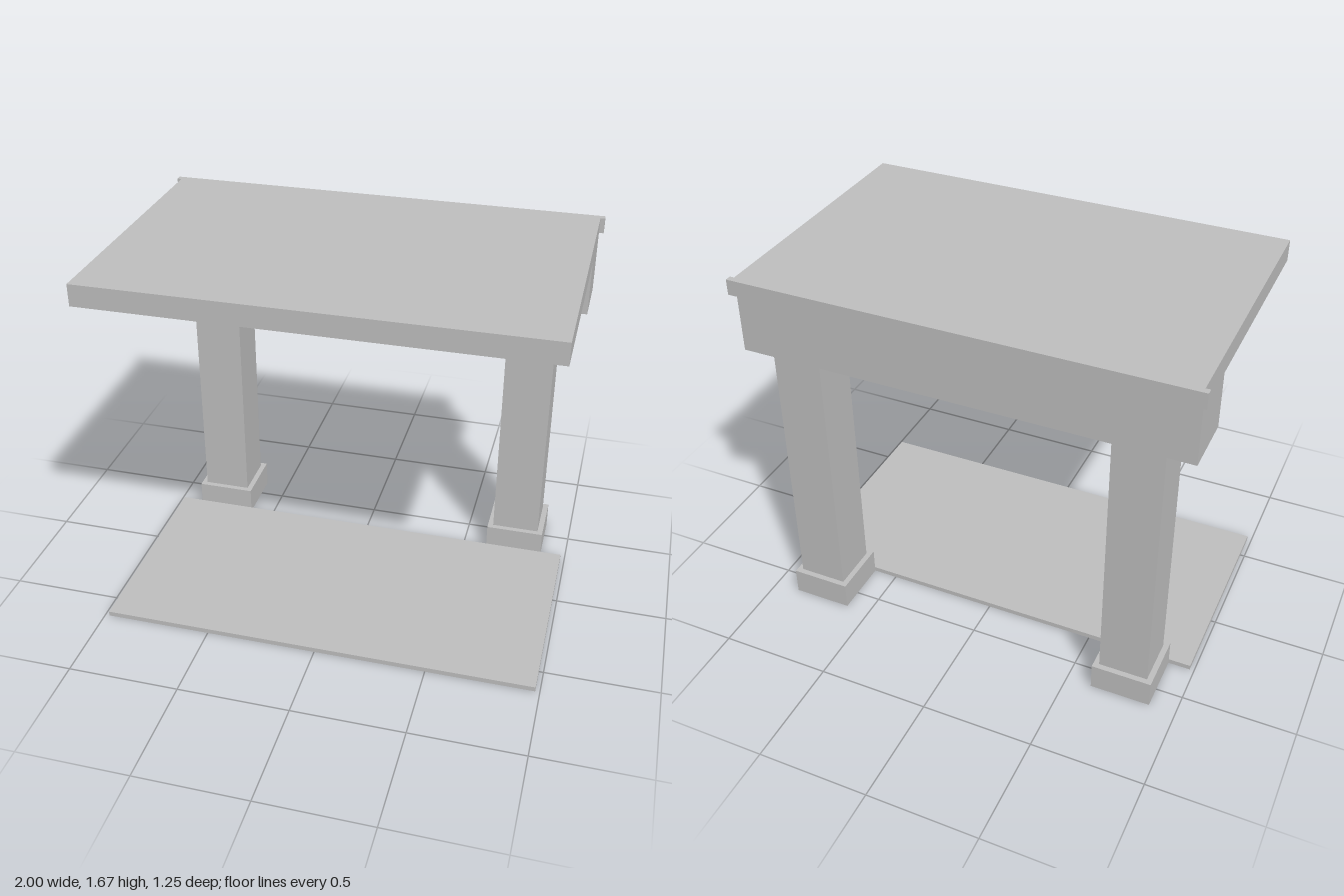
import * as THREE from 'three';

export function createModel() {
  const model = new THREE.Group();
  const stone = new THREE.MeshStandardMaterial({ color: 0xc0c0c0 });
  stone.name = 'grey stone';

  // Box given by its lower and upper corner
  function block(name, [x0, y0, z0], [x1, y1, z1], parent = model) {
    const mesh = new THREE.Mesh(new THREE.BoxGeometry(x1 - x0, y1 - y0, z1 - z0), stone);
    mesh.position.set((x0 + x1) / 2, (y0 + y1) / 2, (z0 + z1) / 2);
    mesh.name = name;
    parent.add(mesh);
  }

  // Thin floor slab in front of the columns
  block('floorSlab', [-0.98, 0, -0.33], [0.98, 0.022, 0.626]);

  // Columns on square plinths, mirrored left and right
  for (const side of [-1, 1]) {
    const column = new THREE.Group();
    column.name = side > 0 ? 'leftColumn' : 'rightColumn';
    column.position.set(side * 0.747, 0, -0.464);
    block('plinth', [-0.134, 0, -0.134], [0.134, 0.123, 0.134], column);
    block('shaft', [-0.109, 0.123, -0.109], [0.109, 1.328, 0.109], column);
    model.add(column);
  }

  // Roof and rear beam as one L-shaped profile (z, y) extruded along x
  const profile = new THREE.Shape([
    [-0.598, 1.328], [-0.33, 1.328], [-0.33, 1.573],
    [0.626, 1.573], [0.626, 1.669], [-0.598, 1.669],
  ].map(([z, y]) => new THREE.Vector2(-z, y)));
  const roofGeometry = new THREE.ExtrudeGeometry(profile, { depth: 1.96, bevelEnabled: false });
  roofGeometry.translate(0, 0, -0.98).rotateY(Math.PI / 2);
  const roof = new THREE.Mesh(roofGeometry, stone);
  roof.name = 'roofAndBeam';
  model.add(roof);

  // Trim strip along the back edge of the roof
  block('backTrim', [-1, 1.6, -0.626], [1, 1.669, -0.598]);

  return model;
}
